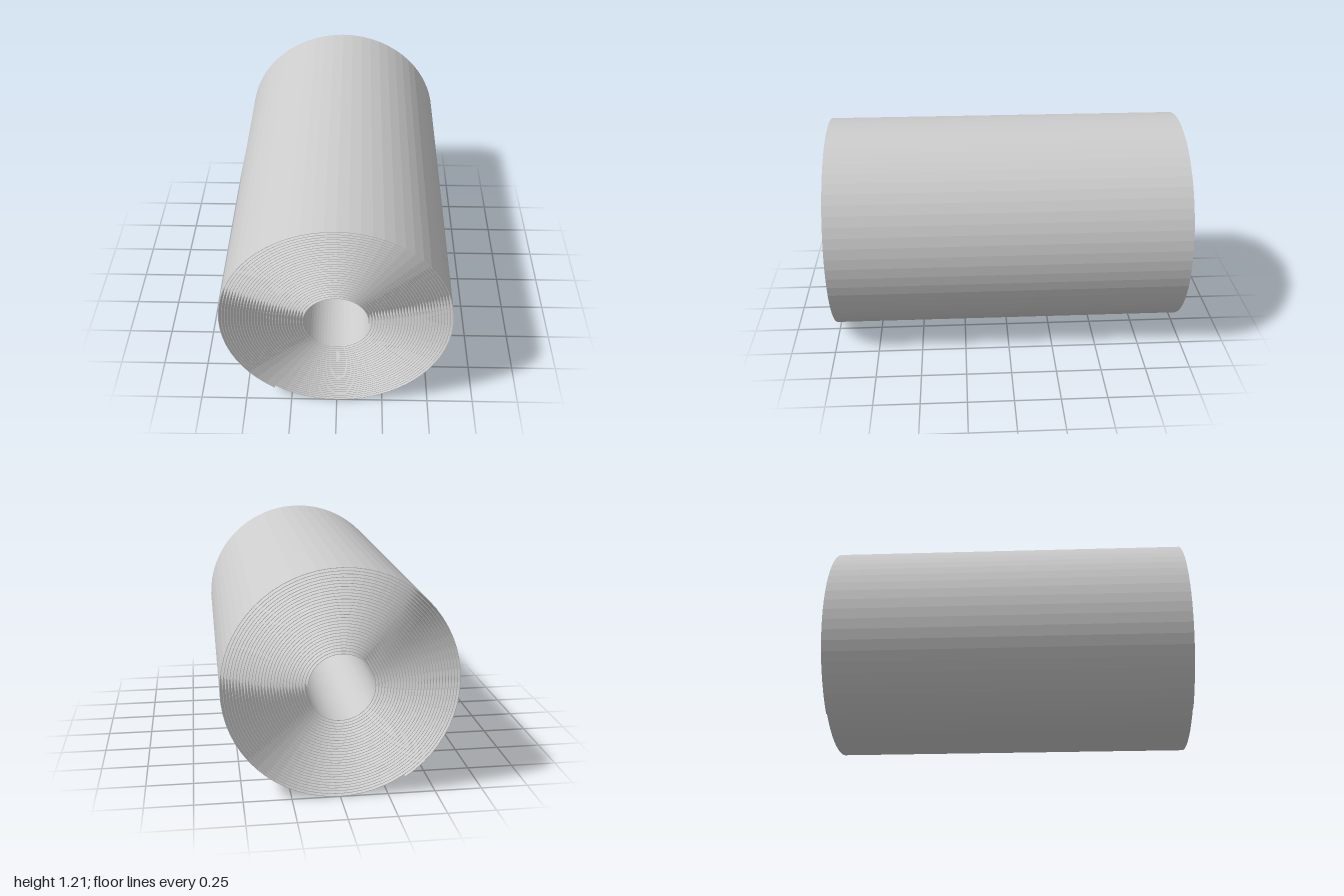
import * as THREE from 'three';

const HALF_LENGTH = 1;
const INNER_RADIUS = 0.166;
const OUTER_RADIUS = 0.613;
const TURNS = 28.66;
const SIDES = 64; // flat facets per turn
const THICKNESS = 0.003;
const AXIS_HEIGHT = 0.608;

// One thin sheet wound in a spiral about the z axis, swept as a four-cornered section.
function spiralSheet() {
  const steps = Math.round(TURNS * SIDES);
  const positions = [];
  const index = [];
  const quad = (a, b, c, d) => index.push(a, b, c, a, c, d);

  for (let i = 0; i <= steps; i++) {
    const angle = (i / SIDES) * Math.PI * 2;
    const outer = THREE.MathUtils.lerp(INNER_RADIUS + THICKNESS, OUTER_RADIUS, i / steps);
    const inner = outer - THICKNESS;
    const section = [[inner, HALF_LENGTH], [outer, HALF_LENGTH], [outer, -HALF_LENGTH], [inner, -HALF_LENGTH]];
    for (const [r, z] of section) positions.push(Math.cos(angle) * r, Math.sin(angle) * r, z);
  }

  // Front rim, outside, back rim and inside of every facet
  for (let i = 0; i < steps; i++) {
    const a = i * 4;
    const b = a + 4;
    for (let j = 0; j < 4; j++) {
      const k = (j + 1) % 4;
      quad(a + j, a + k, b + k, b + j);
    }
  }

  // Free edges of the sheet
  const last = steps * 4;
  quad(0, 3, 2, 1);
  quad(last, last + 1, last + 2, last + 3);

  const geometry = new THREE.BufferGeometry();
  geometry.setAttribute('position', new THREE.Float32BufferAttribute(positions, 3));
  geometry.setIndex(index);
  const flat = geometry.toNonIndexed();
  flat.computeVertexNormals();
  return flat;
}

export function createModel() {
  const group = new THREE.Group();
  group.name = 'rolledSheet';

  const sheetGrey = new THREE.MeshStandardMaterial({ color: 0xcccccc });
  sheetGrey.name = 'sheetGrey';

  const sheet = new THREE.Mesh(spiralSheet(), sheetGrey);
  sheet.name = 'spiralSheet';
  sheet.position.y = AXIS_HEIGHT;
  group.add(sheet);
  return group;
}
